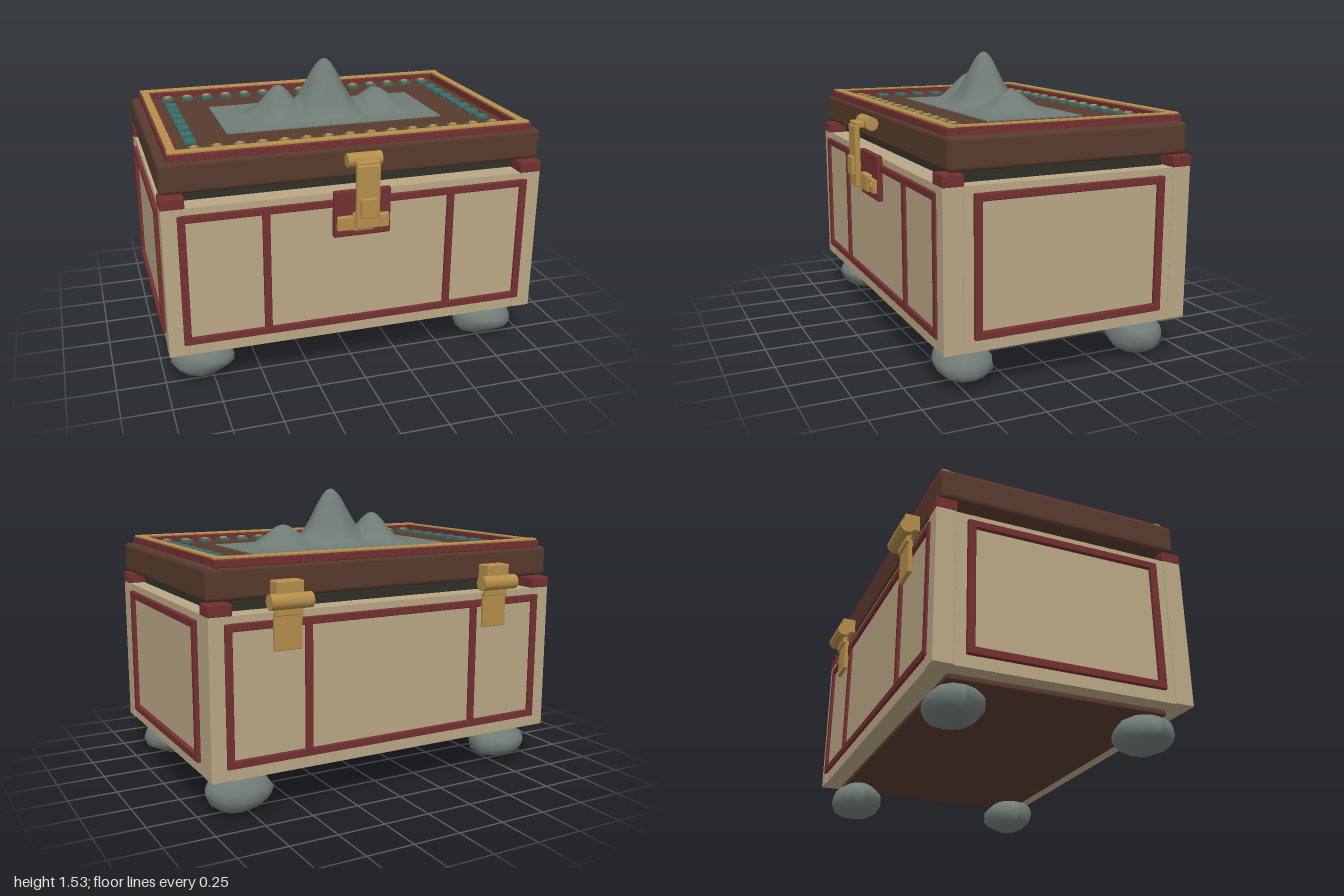
import * as THREE from 'three';
import { RoundedBoxGeometry } from 'three/addons/geometries/RoundedBoxGeometry.js';

const mat = (name, color) => {
  const m = new THREE.MeshStandardMaterial({ color });
  m.name = name;
  return m;
};

export function createModel() {
  const root = new THREE.Group();
  root.name = 'chest';
  const tan = mat('tan', 0xb9a784), brown = mat('brown', 0x573a2d), red = mat('maroon', 0x723030),
    gold = mat('gold', 0xb48e4a), teal = mat('teal', 0x3b6c69), stone = mat('stone', 0x6f7b75),
    dark = mat('dark', 0x2f3026);

  const add = (name, geo, material, x = 0, y = 0, z = 0, parent = root) => {
    const m = new THREE.Mesh(geo, material);
    m.name = name;
    m.position.set(x, y, z);
    parent.add(m);
    return m;
  };
  // Box given by its limits; an optional radius rounds the edges
  const box = (name, material, x0, x1, y0, y1, z0, z1, r = 0, parent = root) => {
    const s = [x1 - x0, y1 - y0, z1 - z0];
    const geo = r ? new RoundedBoxGeometry(...s, 2, r) : new THREE.BoxGeometry(...s);
    return add(name, geo, material, (x0 + x1) / 2, (y0 + y1) / 2, (z0 + z1) / 2, parent);
  };
  const barrel = (name, material, r, len, x, y, z, axis = 'z', parent = root) => {
    const m = add(name, new THREE.CylinderGeometry(r, r, len, 20), material, x, y, z, parent);
    m.rotation[axis] = Math.PI / 2;
    return m;
  };

  // Body, base and rim
  box('body', tan, -0.98, 0.98, 0.22, 1.0, -0.675, 0.63);
  box('base', brown, -0.9, 0.9, 0.19, 0.222, -0.58, 0.535, 0.01);
  box('rim', dark, -0.9, 0.9, 0.99, 1.055, -0.565, 0.525);
  for (const s of [-1, 1]) {
    for (const [z0, z1] of [[-0.68, -0.58], [0.535, 0.635]]) {
      const xs = [s * 0.885, s * 0.985].sort((a, b) => a - b);
      box('cornerPost', tan, xs[0], xs[1], 0.22, 1.002, z0, z1, 0.004);
      const cx = [s * 0.87, s * 0.987].sort((a, b) => a - b);
      box('cornerCap', red, cx[0], cx[1], 1.0, 1.055, z0 - 0.002, z1 + 0.002, 0.004);
    }
  }

  // Panel trim on the front and back
  const w = 0.038;
  for (const [z0, z1] of [[0.62, 0.645], [-0.69, -0.665]]) {
    for (const y of [0.28, 0.965 - w]) box('trimRail', red, -0.91, 0.91, y, y + w, z0, z1, 0.005);
    for (const x of [-0.891, -0.482, 0.482, 0.891])
      box('trimUpright', red, x - w / 2, x + w / 2, 0.3, 0.945, z0, z1, 0.005);
  }
  // Panel trim on the sides
  for (const s of [-1, 1]) {
    const x0 = s > 0 ? 0.97 : -1, x1 = x0 + 0.03;
    for (const y of [0.28, 0.965 - w]) box('sideTrimRail', red, x0, x1, y, y + w, -0.525, 0.485, 0.005);
    for (const z of [-0.525, 0.485 - w]) box('sideTrimUpright', red, x0, x1, 0.3, 0.945, z, z + w, 0.005);
  }

  // Lid with raised border and gold inlay
  box('lid', brown, -0.985, 0.985, 1.062, 1.22, -0.655, 0.608, 0.022);
  for (const [z0, z1] of [[-0.65, -0.585], [0.53, 0.595]]) {
    box('lidBorder', red, -0.935, 0.935, 1.215, 1.253, z0, z1, 0.005);
    box('lidInlay', gold, -0.93, 0.93, 1.245, 1.263, z0 + 0.012, z1 - 0.012, 0.004);
  }
  for (const x of [-0.905, 0.905]) {
    box('lidSideBorder', red, x - 0.032, x + 0.032, 1.215, 1.253, -0.585, 0.53);
    box('lidSideInlay', gold, x - 0.02, x + 0.02, 1.245, 1.26, -0.595, 0.535);
  }

  // Studs around the lid; the long rows carry gold diamonds
  const stud = (x, z, diamond) => {
    box('stud', teal, x - 0.03, x + 0.03, 1.21, 1.237, z - 0.03, z + 0.03, 0.005);
    if (diamond) {
      const d = add('studDiamond', new THREE.BoxGeometry(0.032, 0.009, 0.032), gold, x, 1.24, z);
      d.rotation.y = Math.PI / 4;
    }
  };
  for (let i = 0; i < 15; i++) for (const z of [-0.515, 0.455]) stud(-0.785 + i * 0.1121, z, true);
  for (let i = 0; i < 7; i++) for (const x of [-0.785, 0.785]) stud(x, -0.375 + i * 0.115, false);

  // Mountain relief: the highest of three peaks, with slight ridges
  const peaks = [[0, -0.01, 0.3, 0.132, 0.122], [-0.25, -0.03, 0.165, 0.108, 0.125], [0.3, -0.03, 0.115, 0.122, 0.12]];
  const relief = new THREE.PlaneGeometry(1.17, 0.53, 60, 30).rotateX(-Math.PI / 2);
  const rp = relief.attributes.position;
  for (let i = 0; i < rp.count; i++) {
    const x = rp.getX(i), z = rp.getZ(i) - 0.03;
    let h = 0;
    for (const [px, pz, top, sx, sz] of peaks) {
      const dx = (x - px) / sx, dz = (z - pz) / sz, r2 = dx * dx + dz * dz;
      const ridge = 1 + 0.1 * Math.sin(5 * Math.atan2(dz, dx) + px * 20) * Math.min(1, r2);
      h = Math.max(h, top * Math.exp(-r2 * ridge));
    }
    rp.setXYZ(i, x, 1.226 + h, z);
  }
  relief.computeVertexNormals();
  add('mountains', relief, stone);
  box('mountainBase', stone, -0.585, 0.585, 1.215, 1.225, -0.295, 0.235);

  // Boulder feet, each with its own bumps
  const feet = [[-0.795, 0.46, 0.165, 0.145, 0.025], [0.783, 0.46, 0.172, 0.145, 0.014],
    [-0.795, -0.51, 0.165, 0.14, 0.02], [0.783, -0.51, 0.172, 0.14, 0]];
  feet.forEach(([x, z, rx, rz, bottom], k) => {
    const geo = new THREE.SphereGeometry(1, 14, 9), p = geo.attributes.position;
    const ry = (0.2 - bottom) / 2;
    for (let i = 0; i < p.count; i++) {
      const a = p.getX(i), b = p.getY(i), c = p.getZ(i);
      const n = 1 + 0.05 * Math.sin(4 * a + k * 2) * Math.cos(3.5 * c + k) + 0.04 * Math.sin(5 * b + 3 * a + k);
      p.setXYZ(i, a * n * rx, Math.max(-ry, Math.min(ry, b * n * ry * 1.03)), c * n * rz);
    }
    geo.computeVertexNormals();
    add('boulderFoot', geo, stone, x, bottom + ry, z);
  });

  // Front latch
  const latch = new THREE.Group();
  latch.name = 'latch';
  root.add(latch);
  box('latchPlate', red, -0.148, 0.148, 0.77, 1.012, 0.63, 0.66, 0.008, latch);
  box('latchBar', gold, -0.135, 0.135, 0.81, 0.885, 0.655, 0.682, 0.008, latch);
  box('latchCatch', gold, -0.055, 0.055, 0.805, 0.9, 0.655, 0.69, 0.01, latch);
  for (const x of [-0.11, 0.11]) barrel('latchScrew', gold, 0.02, 0.02, x, 0.853, 0.682, 'x', latch);
  box('latchStrap', gold, -0.06, 0.06, 0.84, 1.165, 0.72, 0.748, 0.008, latch);
  box('latchArm', gold, -0.06, 0.06, 1.15, 1.182, 0.665, 0.74, 0.008, latch);
  box('latchButton', gold, -0.042, 0.042, 0.9, 1.0, 0.74, 0.765, 0.006, latch);
  barrel('latchBarrel', gold, 0.035, 0.175, 0, 1.172, 0.664, 'z', latch);

  // Back hinges
  for (const x of [-0.6, 0.6]) {
    const hinge = new THREE.Group();
    hinge.name = 'hinge';
    hinge.position.x = x;
    root.add(hinge);
    box('hingeUpperLeaf', gold, -0.07, 0.07, 1.06, 1.148, -0.73, -0.65, 0.006, hinge);
    box('hingeLowerLeaf', gold, -0.072, 0.072, 0.82, 1.0, -0.708, -0.685, 0.005, hinge);
    box('hingeNeck', gold, -0.072, 0.072, 0.985, 1.06, -0.72, -0.695, 0.005, hinge);
    barrel('hingeBarrel', gold, 0.038, 0.215, 0, 1.055, -0.727, 'z', hinge);
  }
  return root;
}
